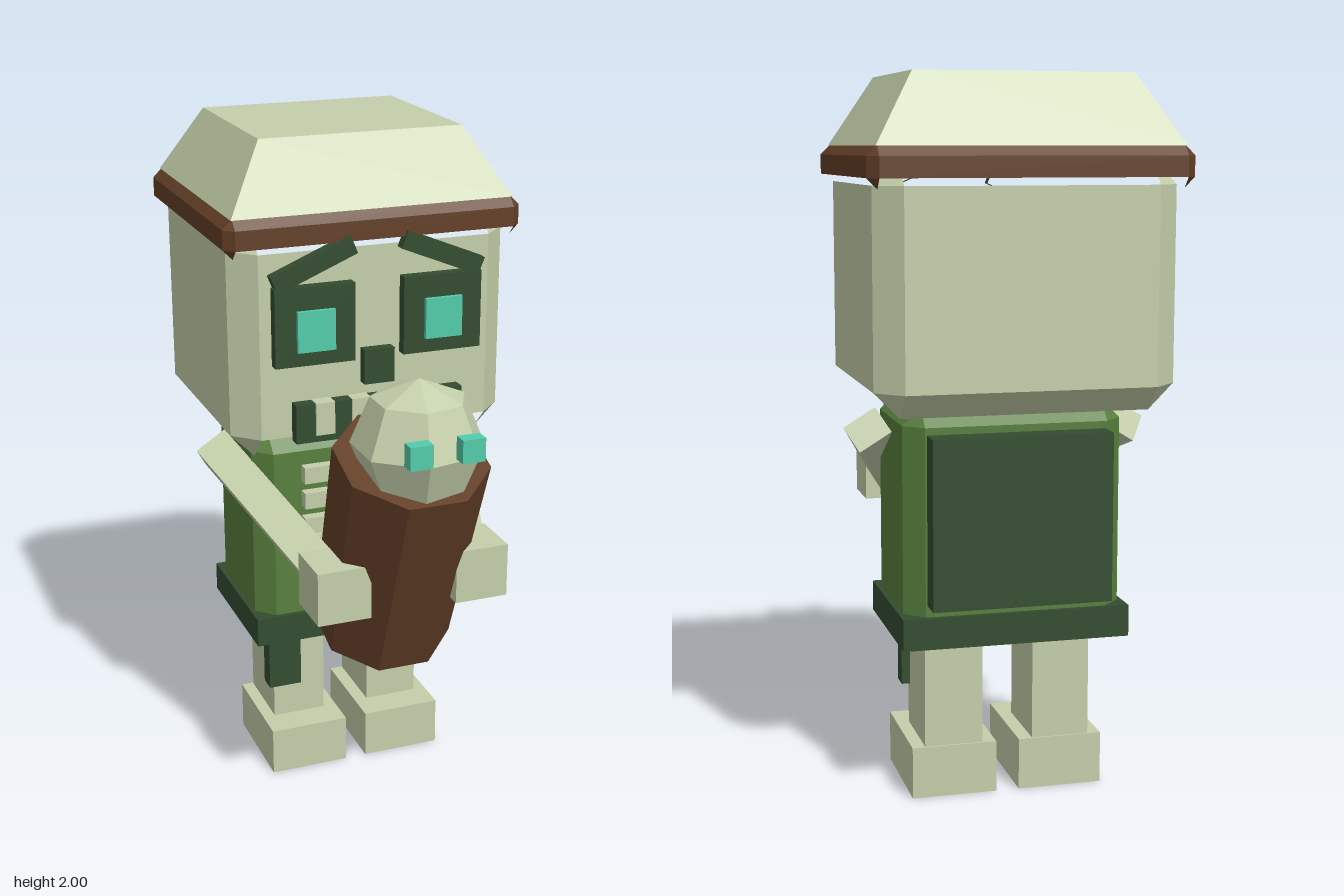
import * as THREE from 'three';
import { ConvexGeometry } from 'three/addons/geometries/ConvexGeometry.js';

const mat = (name, color) => Object.assign(new THREE.MeshStandardMaterial({ color, flatShading: true }), { name });

export function createModel() {
  const skin = mat('paleSkin', 0xc4cfaa);
  const dark = mat('darkGreen', 0x334c30);
  const green = mat('shirtGreen', 0x587f3d);
  const brown = mat('bark', 0x633f27);
  const teal = mat('tealGlow', 0x52ccab);

  const model = new THREE.Group();
  const add = (name, geometry, material) => {
    const mesh = new THREE.Mesh(geometry, material);
    mesh.name = name;
    model.add(mesh);
    return mesh;
  };

  // Box given by its extents along x, y and z
  const box = (name, material, [x0, x1], [y0, y1], [z0, z1]) => {
    const mesh = add(name, new THREE.BoxGeometry(x1 - x0, y1 - y0, z1 - z0), material);
    mesh.position.set((x0 + x1) / 2, (y0 + y1) / 2, (z0 + z1) / 2);
    return mesh;
  };
  // Box with no back, for pieces set on the face
  const plate = (...args) => {
    const mesh = box(...args);
    mesh.geometry.setIndex(Array.from(mesh.geometry.index.array).slice(0, 30));
    return mesh;
  };
  const pair = (make) => [1, -1].forEach((s) => make(s, s > 0 ? 'left' : 'right'));
  const span = (s, a, b) => (s > 0 ? [a, b] : [-b, -a]);

  // Open chamfered shell: walls, bevelled corners, corner tips and chosen edge bevels
  const shell = (x, z0, z1, y0, y1, c, topEdges, bottomEdges) => {
    const centre = new THREE.Vector3(0, (y0 + y1) / 2, (z0 + z1) / 2);
    const pos = [];
    const face = (...p) => {
      const n = p[1].clone().sub(p[0]).cross(p[2].clone().sub(p[0]));
      if (n.dot(p[0].clone().sub(centre)) < 0) p.reverse();
      for (let i = 1; i < p.length - 1; i++) [p[0], p[i], p[i + 1]].forEach((v) => pos.push(v.x, v.y, v.z));
    };
    const zAt = (sz, inset) => (sz > 0 ? z1 - inset : z0 + inset);
    const side = (sx, sz, y) => new THREE.Vector3(sx * x, y, zAt(sz, c));
    const end = (sx, sz, y) => new THREE.Vector3(sx * (x - c), y, zAt(sz, 0));
    const tip = (sx, sz, y) => new THREE.Vector3(sx * (x - c), y, zAt(sz, c));
    for (const s of [1, -1]) {
      face(side(s, 1, y0), side(s, -1, y0), side(s, -1, y1), side(s, 1, y1));
      face(end(1, s, y0), end(-1, s, y0), end(-1, s, y1), end(1, s, y1));
      for (const t of [1, -1]) {
        face(side(s, t, y0), end(s, t, y0), end(s, t, y1), side(s, t, y1));
        face(side(s, t, y0), end(s, t, y0), tip(s, t, y0 - c));
        face(side(s, t, y1), end(s, t, y1), tip(s, t, y1 + c));
      }
    }
    for (const [edges, y, yTip] of [[topEdges, y1, y1 + c], [bottomEdges, y0, y0 - c]]) {
      if (edges.includes('front')) face(end(1, 1, y), end(-1, 1, y), tip(-1, 1, yTip), tip(1, 1, yTip));
      if (edges.includes('back')) face(end(1, -1, y), end(-1, -1, y), tip(-1, -1, yTip), tip(1, -1, yTip));
      if (edges.includes('sides')) {
        for (const s of [1, -1]) face(side(s, 1, y), side(s, -1, y), tip(s, -1, yTip), tip(s, 1, yTip));
      }
      if (edges.includes('cap')) face(tip(1, 1, yTip), tip(1, -1, yTip), tip(-1, -1, yTip), tip(-1, 1, yTip));
    }
    const g = new THREE.BufferGeometry();
    g.setAttribute('position', new THREE.Float32BufferAttribute(pos, 3));
    g.computeVertexNormals();
    return g;
  };

  // Head, brown brim and sloped cap
  const all = ['front', 'back', 'sides'];
  add('head', shell(0.41, -0.61, 0.12, 1.18, 1.71, 0.07, [], ['back']), skin);
  add('brim', shell(0.435, -0.634, 0.14, 1.73, 1.785, 0.028, all, []), brown);
  const capPoints = [];
  for (const s of [1, -1]) {
    for (const z of [-0.612, 0.12]) capPoints.push(new THREE.Vector3(s * 0.412, 1.81, z));
    for (const z of [-0.515, 0.014]) capPoints.push(new THREE.Vector3(s * 0.298, 2, z));
  }
  add('cap', new ConvexGeometry(capPoints), skin);

  // Face
  pair((s, n) => {
    plate(n + 'EyeSocket', dark, span(s, 0.072, 0.306), [1.395, 1.618], [0.12, 0.153]);
    plate(n + 'Eye', teal, span(s, 0.134, 0.244), [1.437, 1.553], [0.125, 0.166]);
    const brow = plate(n + 'Brow', dark, span(s, 0.065, 0.315), [1.65, 1.702], [0.12, 0.153]);
    brow.rotation.z = -s * 0.39;
  });
  plate('nose', dark, [-0.045, 0.045], [1.32, 1.42], [0.12, 0.153]);
  plate('mouth', dark, [-0.25, 0.25], [1.17, 1.283], [0.12, 0.158]);
  for (const x of [-0.165, -0.057, 0.057, 0.165]) {
    plate('tooth', skin, [x - 0.028, x + 0.028], [1.19, 1.285], [0.12, 0.163]);
  }

  // Torso, ribs, belt and back pack
  add('torso', shell(0.307, -0.452, -0.04, 0.5, 1.068, 0.052, [...all, 'cap'], all), green);
  for (const y of [0.78, 0.84, 0.92, 1.0]) {
    box('rib', skin, [-0.17, 0.17], [y - 0.025, y + 0.025], [-0.04, -0.007]);
  }
  box('belt', dark, [-0.32, 0.32], [0.46, 0.548], [-0.465, -0.025]);
  box('backPack', dark, [-0.25, 0.25], [0.58, 1.048], [-0.525, -0.44]);

  // Legs, feet, hanging flaps, arms and hands
  pair((s, n) => {
    box(n + 'Leg', skin, span(s, 0.073, 0.238), [0.1, 0.47], [-0.358, -0.135]);
    box(n + 'Foot', skin, span(s, 0.033, 0.275), [0, 0.147], [-0.363, -0.04]);
    box(n + 'Flap', dark, span(s, 0.16, 0.262), [0.268, 0.47], [-0.155, -0.1]);
    box(n + 'Hand', skin, span(s, 0.128, 0.285), [0.733, 0.89], [0.262, 0.422]);

    const shoulder = new THREE.Vector3(s * 0.372, 1.035, -0.245);
    const wrist = new THREE.Vector3(s * 0.205, 0.81, 0.3);
    const along = wrist.clone().sub(shoulder);
    const arm = add(n + 'Arm', new THREE.BoxGeometry(0.105, 0.085, along.length()), skin);
    along.normalize();
    const across = new THREE.Vector3(-s * 0.86, 0.51, 0);
    across.addScaledVector(along, -across.dot(along)).normalize();
    const up = along.clone().cross(across);
    arm.quaternion.setFromRotationMatrix(new THREE.Matrix4().makeBasis(across, up, along));
    arm.position.copy(shoulder).add(wrist).multiplyScalar(0.5);
  });

  // Carried log with a small faceted head on top
  const log = add('log', new THREE.CylinderGeometry(0.219, 0.2, 0.637, 8).rotateY(Math.PI / 8), brown);
  log.position.set(0, 0.883, 0.283);
  log.rotation.x = 0.344;
  const smallHead = add('smallHead', new THREE.SphereGeometry(0.186, 7, 4).rotateY(Math.PI), skin);
  smallHead.position.set(0, 1.237, 0.435);
  pair((s, n) => box(n + 'SmallEye', teal, span(s, 0.041, 0.106), [1.245, 1.31], [0.594, 0.635]));

  return model;
}
